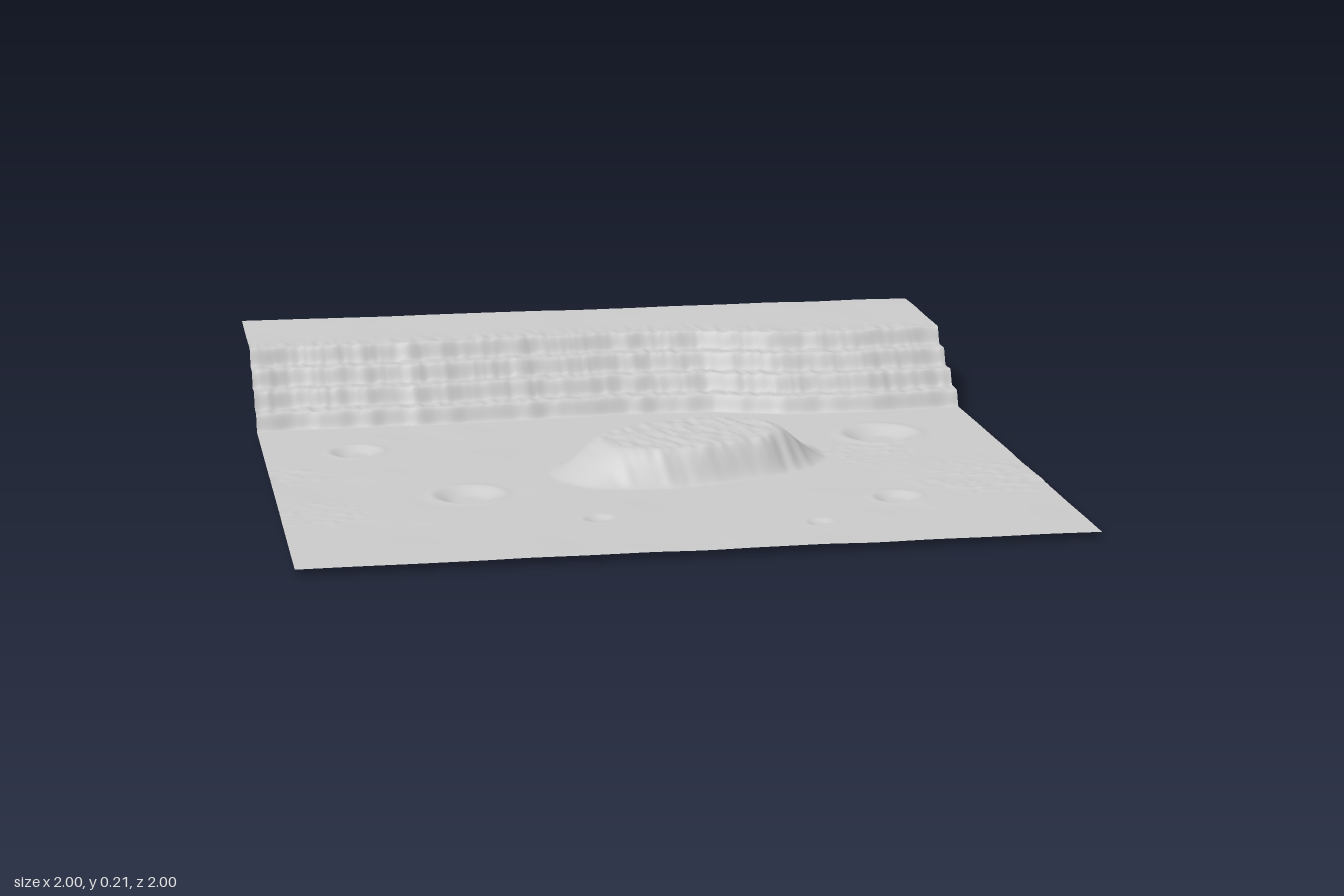
import * as THREE from 'three';

const { clamp, lerp, smoothstep } = THREE.MathUtils;
const COLS = 230, ROWS = 300;
const PLAIN = 0.02, STEP = 0.046, SPACING = 0.075;

// Smooth value noise in -1..1 from a small integer hash
function hash(i, j) {
  let h = Math.imul(i, 374761393) + Math.imul(j, 668265263);
  h = Math.imul(h ^ (h >>> 13), 1274126177);
  return ((h ^ (h >>> 16)) >>> 0) / 2147483648 - 1;
}
function noise(x, y) {
  const i = Math.floor(x), j = Math.floor(y);
  const u = smoothstep(x - i, 0, 1), v = smoothstep(y - j, 0, 1);
  return lerp(lerp(hash(i, j), hash(i + 1, j), u), lerp(hash(i, j + 1), hash(i + 1, j + 1), u), v);
}

// Foot of the cliff as [x, z]
const cliffFoot = [
  [-1, -0.4], [-0.9, -0.415], [-0.55, -0.41], [-0.35, -0.42], [-0.1, -0.435], [0.05, -0.445],
  [0.2, -0.44], [0.3, -0.435], [0.38, -0.405], [0.48, -0.378], [0.6, -0.37], [0.75, -0.357],
  [0.85, -0.365], [1, -0.38],
];
function footZ(x) {
  let i = 0;
  while (i < cliffFoot.length - 2 && x > cliffFoot[i + 1][0]) i++;
  const [a, b] = [cliffFoot[i], cliffFoot[i + 1]];
  return lerp(a[1], b[1], clamp((x - a[0]) / (b[0] - a[0]), 0, 1));
}

// Four steep risers with streaked treads between them, then the plateau
function cliff(x, z) {
  const d = footZ(x) - z + 0.004 * noise(x * 22, 3);
  let y = 0;
  for (let k = 0; k < 4; k++) y += STEP * smoothstep(d - k * SPACING, -0.013, 0.013);
  const rough = smoothstep(d, 0, 0.03) * (1 - smoothstep(d, 0.24, 0.36));
  y += rough * 0.0035 * noise(x * 95, z * 16);
  return y + 0.006 * smoothstep(d, 0.3, 0.6);
}

// Tilted oval mesa with a rough flat top
function mesa(x, z) {
  const dx = x - 0.115, dz = z - 0.155, c = Math.cos(0.27), s = Math.sin(0.27);
  const u = dx * c - dz * s, v = dx * s + dz * c;
  const r = Math.pow(Math.abs(u / 0.385) ** 2.3 + Math.abs(v / 0.228) ** 2.3, 1 / 2.3)
    + 0.018 * noise(u * 40, v * 7);
  const slope = clamp((1 - r) / 0.36, 0, 1);
  const rise = lerp(slope, smoothstep(slope, 0, 1), 0.7);
  return 0.086 * rise + smoothstep(slope, 0.5, 1) * 0.004 * noise(u * 80, v * 22);
}

// Impact craters as [x, z, radius]
const craters = [
  [-0.75, -0.13, 0.075], [0.7, -0.09, 0.11], [-0.505, 0.375, 0.095],
  [0.58, 0.585, 0.065], [-0.21, 0.665, 0.042], [0.33, 0.79, 0.036],
];
function crater(x, z) {
  let y = 0;
  for (const [cx, cz, radius] of craters) {
    const r = Math.hypot(x - cx, z - cz) / radius;
    if (r < 1.5) y += radius * (0.025 * Math.exp(-(((r - 1) / 0.15) ** 2)) - 0.17 * (1 - smoothstep(r, 0.35, 1)));
  }
  return y;
}

// Patches of fine rubble as [x, z, radius]
const patches = [[0.62, 0.12, 0.2], [0.85, 0.42, 0.28], [-0.93, 0.12, 0.14], [-0.9, 0.5, 0.17]];
function rubble(x, z) {
  let weight = 0;
  for (const [cx, cz, radius] of patches) {
    weight = Math.max(weight, 1 - smoothstep(Math.hypot(x - cx, z - cz) / radius, 0.3, 1));
  }
  return weight * 0.004 * Math.max(0, noise(x * 55, z * 55) - 0.1);
}

function height(x, z) {
  const swell = 0.0012 * noise(x * 7 + 40, z * 7);
  return Math.max(0, PLAIN + swell + cliff(x, z) + mesa(x, z) + crater(x, z) + rubble(x, z));
}

// Grid rows lie closer together across the cliff
function rowZ(row) {
  if (row < 20) return lerp(-1, -0.8, row / 20);
  if (row < 130) return lerp(-0.8, -0.3, (row - 20) / 110);
  return lerp(-0.3, 1, (row - 130) / (ROWS - 130));
}

export function createModel() {
  const group = new THREE.Group();
  group.name = 'landscape';

  const rock = new THREE.MeshStandardMaterial({ color: 0xcccccc, side: THREE.DoubleSide });
  rock.name = 'pale grey rock';

  // One sheet of ground shaped by the height rule
  const geometry = new THREE.PlaneGeometry(2, 2, COLS, ROWS);
  geometry.rotateX(-Math.PI / 2);
  const position = geometry.attributes.position;
  for (let i = 0; i < position.count; i++) {
    const x = position.getX(i), z = rowZ(Math.floor(i / (COLS + 1)));
    position.setXYZ(i, x, height(x, z), z);
  }
  geometry.computeVertexNormals();

  const terrain = new THREE.Mesh(geometry, rock);
  terrain.name = 'terrain';
  group.add(terrain);
  return group;
}
